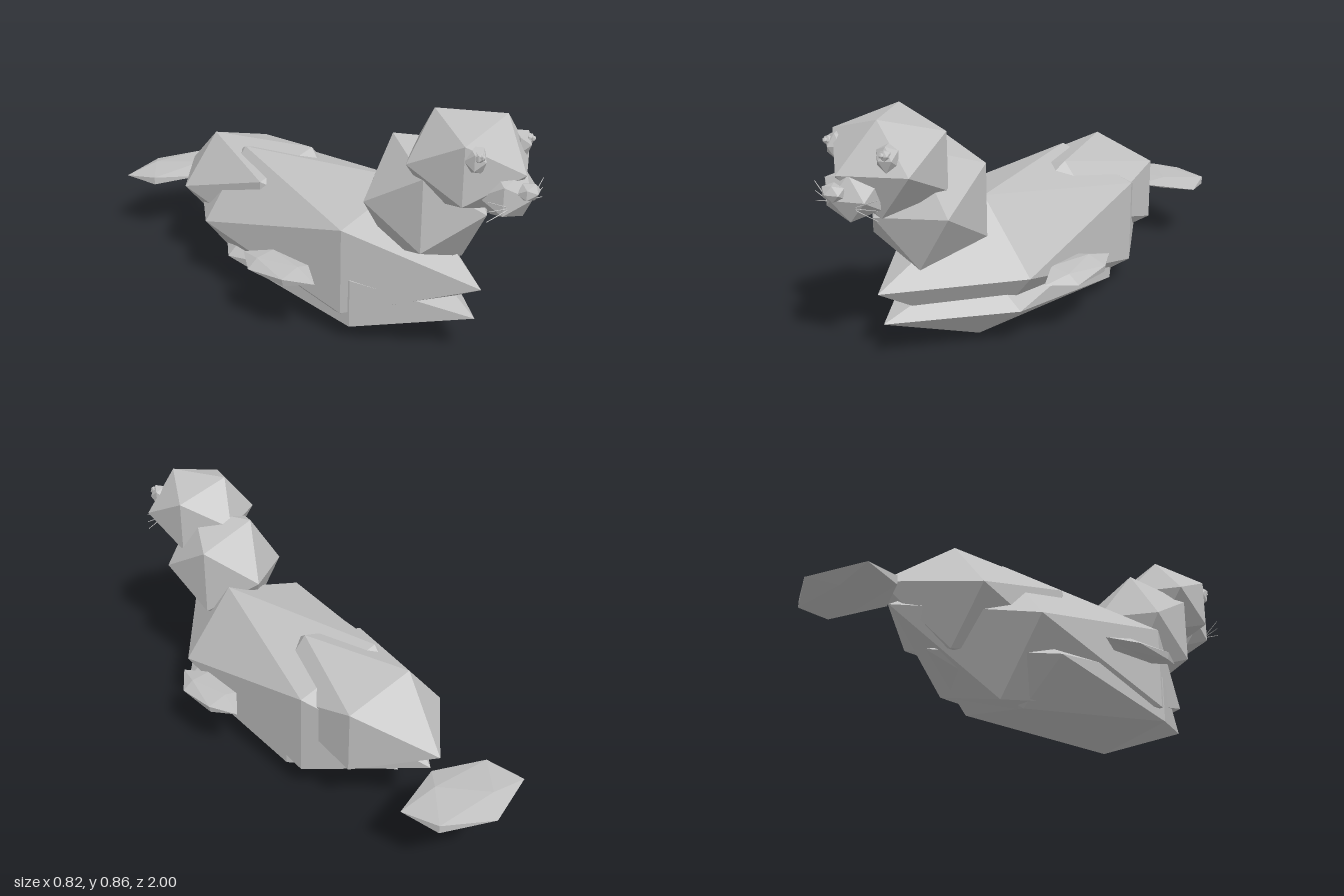
import * as THREE from 'three';
import { ConvexGeometry } from 'three/addons/geometries/ConvexGeometry.js';

// Unit icosahedron with its poles on the z axis
function icoGeometry() {
  const pts = [new THREE.Vector3(0, 0, 1), new THREE.Vector3(0, 0, -1)];
  const h = 1 / Math.sqrt(5), r = 2 * h;
  for (let i = 0; i < 5; i++) {
    const a = (i * 2 * Math.PI) / 5, b = a + Math.PI / 5;
    pts.push(new THREE.Vector3(r * Math.cos(a), r * Math.sin(a), h));
    pts.push(new THREE.Vector3(r * Math.cos(b), r * Math.sin(b), -h));
  }
  return new ConvexGeometry(pts);
}

export function createModel() {
  const group = new THREE.Group();
  const grey = new THREE.MeshStandardMaterial({ color: 0xc0c0c0, flatShading: true });
  grey.name = 'lightGrey';
  const ico = icoGeometry();

  // One faceted ellipsoid: centre, radii, optional tilt about z
  function blob(name, pos, radii, tilt = 0) {
    const mesh = new THREE.Mesh(ico, grey);
    mesh.name = name;
    mesh.position.set(...pos);
    mesh.scale.set(...radii);
    mesh.rotation.z = tilt;
    group.add(mesh);
  }

  // Thin rod between two points
  function rod(name, from, to, radius) {
    const a = new THREE.Vector3(...from), b = new THREE.Vector3(...to);
    const dir = b.clone().sub(a);
    const mesh = new THREE.Mesh(new THREE.CylinderGeometry(radius * 0.6, radius, dir.length(), 5), grey);
    mesh.name = name;
    mesh.position.copy(a).add(b).multiplyScalar(0.5);
    mesh.quaternion.setFromUnitVectors(new THREE.Vector3(0, 1, 0), dir.normalize());
    group.add(mesh);
  }

  // Trunk
  blob('body', [0, 0.26, 0.065], [0.338, 0.3, 0.749]);
  blob('belly', [0, 0.145, 0.135], [0.318, 0.17, 0.66]);
  blob('hindBody', [0, 0.33, -0.273], [0.268, 0.224, 0.452]);
  blob('tailFlipper', [0, 0.25, -0.845], [0.248, 0.029, 0.155]);

  // Neck and head
  blob('neck', [0, 0.53, 0.57], [0.225, 0.247, 0.246]);
  blob('head', [0, 0.705, 0.73], [0.214, 0.188, 0.224]);
  blob('snout', [0, 0.632, 0.89], [0.112, 0.09, 0.09]);
  blob('nose', [0, 0.655, 0.965], [0.047, 0.031, 0.035]);

  // Paired parts
  for (const [side, s] of [['left', 1], ['right', -1]]) {
    blob(side + 'Flipper', [s * 0.34, 0.237, 0.185], [0.078, 0.025, 0.186], -s * 0.2);
    blob(side + 'Eye', [s * 0.118, 0.758, 0.845], [0.041, 0.05, 0.04]);
    blob(side + 'Pupil', [s * 0.13, 0.774, 0.865], [0.02, 0.02, 0.02]);
    blob(side + 'EyeGlint', [s * 0.131, 0.777, 0.88], [0.01, 0.01, 0.01]);
    for (const k of [-1, 0, 1]) {
      rod(side + 'Whisker', [s * 0.07, 0.61 + k * 0.005, 0.938], [s * 0.148, 0.617 + k * 0.033, 0.92], 0.002);
    }
  }
  return group;
}
